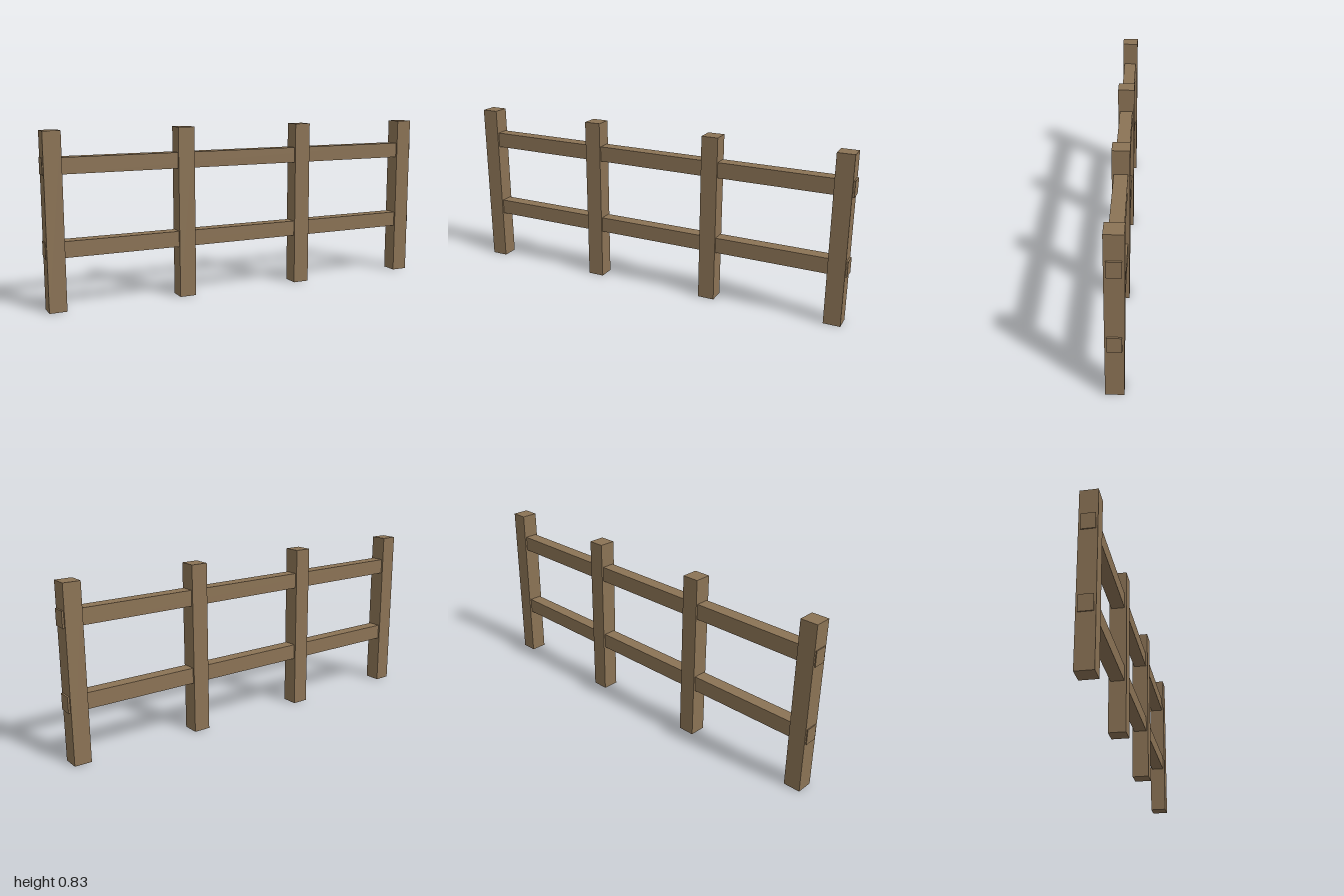
import * as THREE from 'three';

export function createModel() {
  const group = new THREE.Group();
  const wood = new THREE.MeshStandardMaterial({ color: 0x8b7355 });
  wood.name = 'weathered wood';

  const addBeam = (name, size, position) => {
    const beam = new THREE.Mesh(new THREE.BoxGeometry(...size), wood);
    beam.name = name;
    beam.position.set(...position);
    group.add(beam);
  };

  // Four evenly spaced square posts
  const postHeight = 0.826, postWidth = 0.082, spacing = 0.635;
  for (let i = 0; i < 4; i++) {
    addBeam(`post${i + 1}`, [postWidth, postHeight, postWidth],
      [-0.002 + (i - 1.5) * spacing, postHeight / 2, 0]);
  }

  // Two full-length rails running through the posts, ends slightly proud
  addBeam('lowerRail', [2, 0.076, 0.064], [0, 0.287, 0]);
  addBeam('upperRail', [2, 0.076, 0.064], [0, 0.668, 0]);

  return group;
}
